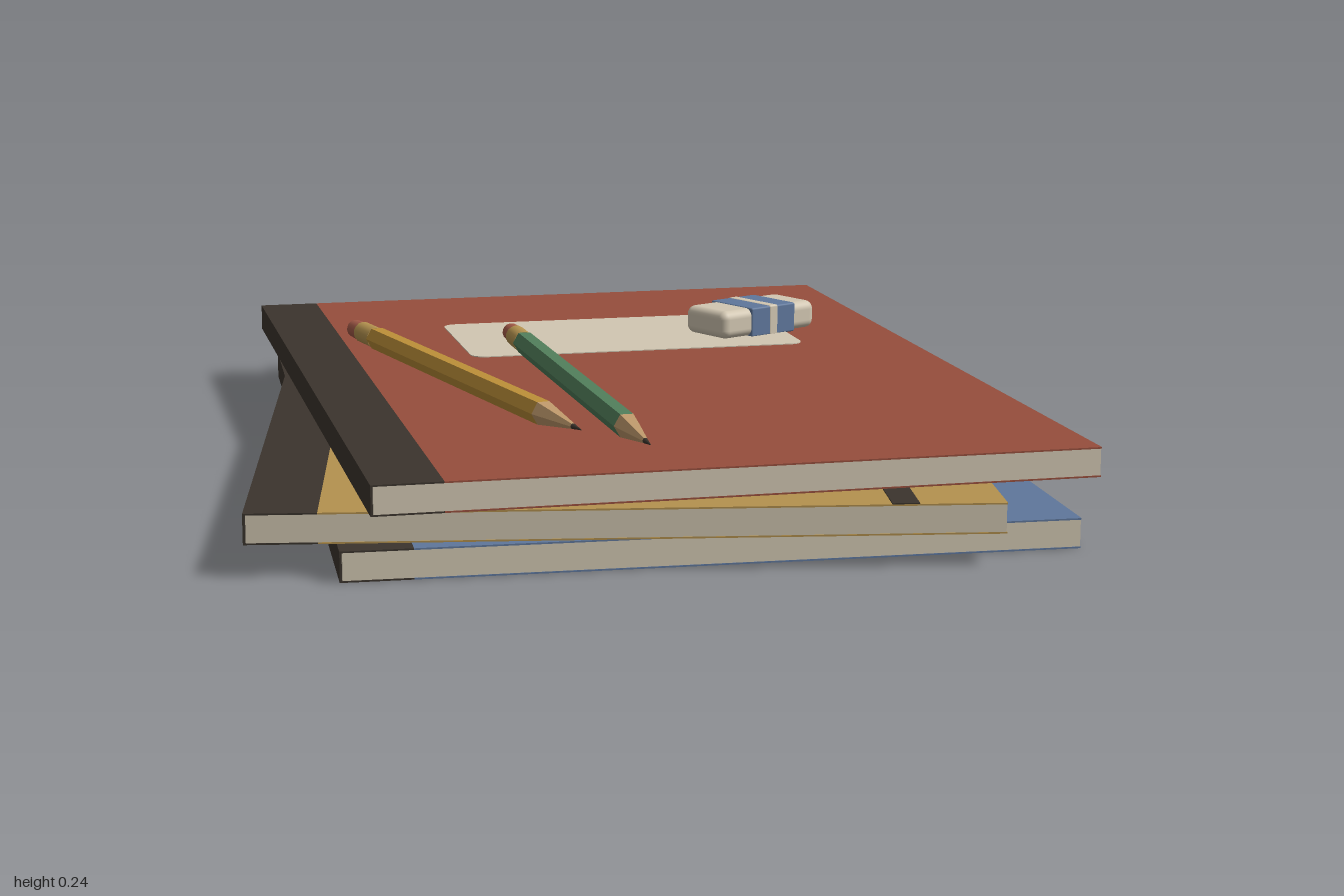
import * as THREE from 'three';
import { RoundedBoxGeometry } from 'three/addons/geometries/RoundedBoxGeometry.js';

const mat = (name, color, flatShading = false) => {
  const m = new THREE.MeshStandardMaterial({ color, flatShading });
  m.name = name;
  return m;
};

export function createModel() {
  const red = mat('brick red', 0x964e3c);
  const ochre = mat('ochre', 0xb4924f);
  const blue = mat('slate blue', 0x5f779b);
  const dark = mat('dark cloth', 0x3b342d);
  const cream = mat('cream paper', 0xd2c7b2);
  const green = mat('pencil green', 0x527f5c, true);
  const yellow = mat('pencil yellow', 0xbd9038, true);
  const wood = mat('bare wood', 0xc09a6c, true);
  const rubber = mat('pencil rubber', 0xa35a48);

  const model = new THREE.Group();
  model.name = 'notebookStack';

  const add = (parent, name, geometry, material, x = 0, y = 0, z = 0) => {
    const mesh = new THREE.Mesh(geometry, material);
    mesh.name = name;
    mesh.position.set(x, y, z);
    parent.add(mesh);
    return mesh;
  };
  const box = (w, h, d) => new THREE.BoxGeometry(w, h, d);

  const W = 1.314, L = 1.845, H = 0.055, COVER = 0.003, SPINE = 0.127;

  // Notebook: page block, two thin covers, cloth spine wrapped round the left edge
  function notebook(name, material, x, y, z, turn) {
    const book = new THREE.Group();
    book.name = name;
    book.position.set(x, y, z);
    book.rotation.y = turn;
    add(book, 'pages', box(W - 0.006, H - 2 * COVER, L - 0.002), cream, 0.002, H / 2, 0);
    for (const [side, cy] of [['bottom', COVER / 2], ['top', H - COVER / 2]]) {
      add(book, side + 'Cover', box(W - SPINE, COVER, L), material, SPINE / 2, cy, 0);
      add(book, side + 'SpineCloth', box(SPINE, COVER, L), dark, (SPINE - W) / 2, cy, 0);
    }
    add(book, 'spineEdge', box(0.004, H - 2 * COVER, L), dark, -W / 2 + 0.002, H / 2, 0);
    model.add(book);
    return book;
  }

  notebook('bottomNotebook', blue, -0.007, 0.002, 0.013, 0.069);
  const middle = notebook('middleNotebook', ochre, -0.06, 0.06, 0.04, -0.049);
  const top = notebook('topNotebook', red, 0, 0.118, -0.005, 0.117);

  // Elastic strap on the middle cover
  add(middle, 'elasticStrap', box(0.048, 0.002, L), dark, 0.48, H + 0.001, 0);

  // Rounded paper label
  const lw = 0.36, lh = 0.1975, r = 0.035;
  const label = new THREE.Shape();
  label.moveTo(-lw + r, -lh);
  label.lineTo(lw - r, -lh).quadraticCurveTo(lw, -lh, lw, -lh + r);
  label.lineTo(lw, lh - r).quadraticCurveTo(lw, lh, lw - r, lh);
  label.lineTo(-lw + r, lh).quadraticCurveTo(-lw, lh, -lw, lh - r);
  label.lineTo(-lw, -lh + r).quadraticCurveTo(-lw, -lh, -lw + r, -lh);
  const labelGeo = new THREE.ExtrudeGeometry(label, { depth: 0.002, bevelEnabled: false });
  labelGeo.rotateX(-Math.PI / 2);
  add(top, 'label', labelGeo, cream, 0.068, H, -0.367);

  // Hexagonal pencil lying along z with its tip towards +z
  function pencil(name, paint, x, z, turn) {
    const group = new THREE.Group();
    group.name = name;
    group.position.set(x, 0.195, z);
    group.rotation.y = turn;
    const R = 0.0245, length = 1.152;
    const section = (part, from, to, r0, r1, sides, material) => {
      const g = new THREE.CylinderGeometry(r1, r0, to - from, sides);
      g.rotateY(Math.PI / 6).rotateX(Math.PI / 2);
      add(group, part, g, material, 0, 0, (from + to) / 2 - length / 2);
    };
    section('rubberEnd', 0, 0.05, 0.019, 0.021, 16, rubber);
    section('ferrule', 0.05, 0.13, 0.0225, 0.0225, 16, ochre);
    section('shaft', 0.13, length - 0.165, R, R, 6, paint);
    section('sharpenedWood', length - 0.165, length - 0.035, R, 0.0055, 6, wood);
    section('lead', length - 0.035, length, 0.0055, 0.0008, 6, dark);
    model.add(group);
  }
  pencil('yellowPencil', yellow, -0.355, 0.148, 0.345);
  pencil('greenPencil', green, -0.134, 0.255, 0.145);

  // Block eraser in a striped paper sleeve
  const eraser = new THREE.Group();
  eraser.name = 'eraser';
  eraser.position.set(0.315, 0.205, -0.398);
  eraser.rotation.y = 0.565;
  add(eraser, 'rubberBlock', new RoundedBoxGeometry(0.265, 0.06, 0.133, 4, 0.018), cream);
  const sleeve = (part, w, grow, material, x) =>
    add(eraser, part, new RoundedBoxGeometry(w, 0.06 + grow, 0.133 + grow, 3, 0.004), material, x);
  sleeve('sleeve', 0.125, 0.004, blue, 0.008);
  sleeve('sleeveStripe', 0.024, 0.006, cream, 0.008);
  model.add(eraser);

  return model;
}
